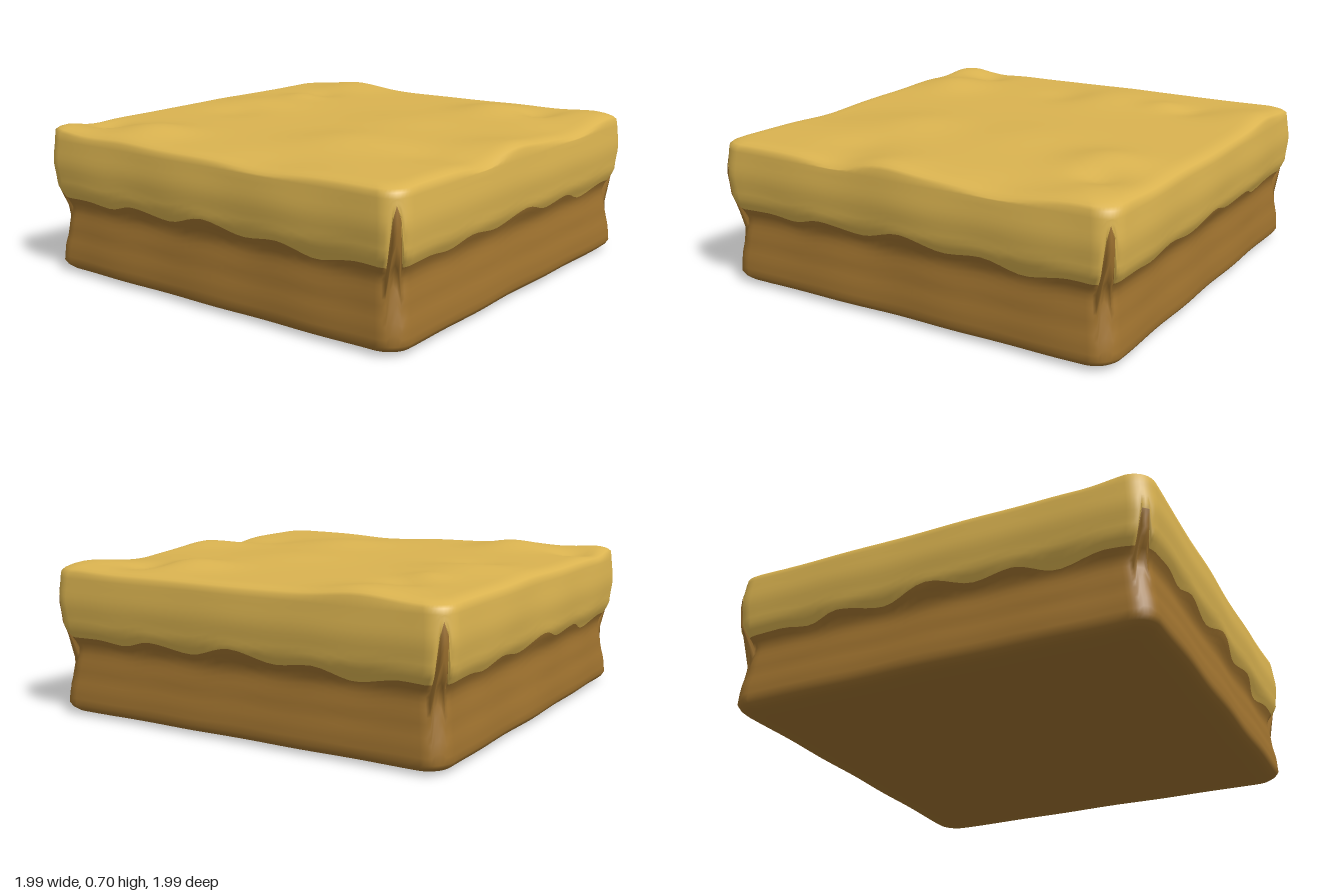
import * as THREE from 'three';

// Smooth interpolation through a short list of [position, value] pairs
function sample(table, t) {
  if (t <= table[0][0]) return table[0][1];
  for (let i = 1; i < table.length; i++) {
    const [t0, v0] = table[i - 1];
    const [t1, v1] = table[i];
    if (t <= t1) return v0 + (v1 - v0) * THREE.MathUtils.smoothstep(t, t0, t1);
  }
  return table[table.length - 1][1];
}

// Half-width of the block by height: soil waist, then the bulging sand
const WIDTH = [[0.05, 0.968], [0.1, 0.965], [0.2, 0.95], [0.3, 0.937], [0.42, 0.982], [0.52, 0.99], [0.64, 0.98]];

// Lower edge of the sand along one side, from its left end to its right end
const SEAM = [[-0.95, 0.355], [-0.76, 0.36], [-0.62, 0.345], [-0.45, 0.378], [-0.23, 0.35], [0, 0.4],
  [0.22, 0.355], [0.4, 0.375], [0.61, 0.328], [0.82, 0.36], [0.95, 0.355]];

// Soft mounds and hollows of the top: x, z, radius, height
const MOUNDS = [
  [-0.75, -0.5, 0.17, 0.038], [-0.72, -0.84, 0.1, -0.028], [0.66, 0.42, 0.17, 0.035], [0.74, 0.62, 0.1, -0.026],
  [-0.08, 0.92, 0.18, 0.022], [-0.33, 0.97, 0.15, -0.022], [0.45, 0.97, 0.18, -0.018], [0.82, 0.85, 0.15, 0.018],
  [0.12, -0.65, 0.22, 0.025], [-0.1, -0.6, 0.14, -0.015], [-0.4, 0.3, 0.22, 0.024], [-0.4, 0.72, 0.14, -0.015],
  [0.9, -0.6, 0.18, 0.028], [0.45, -0.62, 0.1, 0.02], [0.58, -0.6, 0.1, -0.015], [-0.92, 0.3, 0.2, -0.015],
  [0.15, 0.25, 0.25, 0.015], [-0.93, -0.93, 0.15, 0.02],
];
function topHeight(x, z) {
  let y = 0.67;
  for (const [mx, mz, r, h] of MOUNDS) y += h * Math.exp(-((x - mx) ** 2 + (z - mz) ** 2) / (r * r));
  return y;
}

// Columns around a rounded square, anticlockwise from above
function makeColumns() {
  const columns = [];
  const straight = 40, corner = 10;
  for (let side = 0; side < 4; side++) {
    const turn = side * Math.PI / 2;
    const rotate = (x, z) => [x * Math.cos(turn) + z * Math.sin(turn), z * Math.cos(turn) - x * Math.sin(turn)];
    for (let i = 0; i <= straight; i++) {
      const s = -0.9 + 1.8 * i / straight;
      columns.push({ plan: rotate(s, 1), seam: sample(SEAM, s), side, s });
    }
    for (let i = 1; i < corner; i++) {
      const a = i / corner * Math.PI / 2;
      // a narrow strip of soil shows through at each upright corner
      const off = Math.abs(i - corner / 2);
      const seam = off < 0.5 ? 0.6 : off < 1.5 ? 0.55 : 0.355;
      columns.push({
        plan: rotate(0.9 + 0.1 * Math.sin(a), 0.9 + 0.1 * Math.cos(a)),
        seam: side === 2 && off < 1.5 ? 0.5 : seam, side, s: 1,
      });
    }
  }
  return columns;
}

export function createModel() {
  const columns = makeColumns();
  const n = columns.length;
  const positions = [];
  let rows = 0;

  // One loop around the block; shape(column) returns [halfWidth, y or null for the top surface, drop]
  function addRow(shape) {
    for (const column of columns) {
      const [w, y, drop = 0] = shape(column);
      const [px, pz] = column.plan;
      const wobble = 1 + 0.006 * w * Math.sin(px * 8 + pz * 5 + (y ?? 0.6) * 4) * Math.cos(pz * 6 - px * 3);
      const x = px * w * wobble, z = pz * w * wobble;
      positions.push(x, y === null ? topHeight(x, z) - drop : y, z);
    }
    rows++;
  }

  // Underside and its rounded rim
  for (const w of [0, 0.3, 0.6, 0.85]) addRow(() => [w, 0.004]);
  for (const [w, y] of [[0.91, 0.007], [0.94, 0.017], [0.958, 0.032]]) addRow(() => [w, y]);

  // Soil wall up to the sand edge
  const soilSteps = 12;
  for (let i = 0; i <= soilSteps; i++) {
    addRow(({ seam }) => {
      const y = THREE.MathUtils.lerp(0.05, seam, i / soilSteps);
      return [sample(WIDTH, y), y];
    });
  }
  const seamRow = rows - 1;

  // Sand wall
  const sandSteps = 10;
  for (let i = 1; i <= sandSteps; i++) {
    addRow(({ seam }) => {
      const y = THREE.MathUtils.lerp(seam, 0.625, i / sandSteps);
      return [sample(WIDTH, y), y];
    });
  }

  // Rounded shoulder and the uneven top
  for (const [w, drop] of [[0.977, 0.024], [0.965, 0.013], [0.945, 0.005], [0.92, 0]]) addRow(() => [w, null, drop]);
  const topSteps = 28;
  for (let i = 1; i <= topSteps; i++) addRow(() => [0.92 * (1 - i / topSteps), null]);

  // Quads between neighbouring rows
  function strip(from, to) {
    const index = [];
    for (let j = from; j < to; j++) {
      for (let i = 0; i < n; i++) {
        const k = (i + 1) % n;
        const a = j * n + i, b = j * n + k, c = b + n, d = a + n;
        index.push(a, b, c, a, c, d);
      }
    }
    return index;
  }

  // Shared smooth normals keep the join between soil and sand seamless
  const shell = new THREE.BufferGeometry();
  shell.setAttribute('position', new THREE.Float32BufferAttribute(positions, 3));
  shell.setIndex(strip(0, rows - 1));
  shell.computeVertexNormals();

  const model = new THREE.Group();
  model.name = 'groundTile';
  function addLayer(name, color, from, to) {
    const geometry = new THREE.BufferGeometry();
    geometry.setAttribute('position', shell.getAttribute('position'));
    geometry.setAttribute('normal', shell.getAttribute('normal'));
    geometry.setIndex(strip(from, to));
    const material = new THREE.MeshStandardMaterial({ color });
    material.name = name;
    const mesh = new THREE.Mesh(geometry, material);
    mesh.name = name + 'Layer';
    model.add(mesh);
  }
  addLayer('soil', 0xa0732f, 0, seamRow);
  addLayer('sand', 0xdab350, seamRow, rows - 1);
  return model;
}
